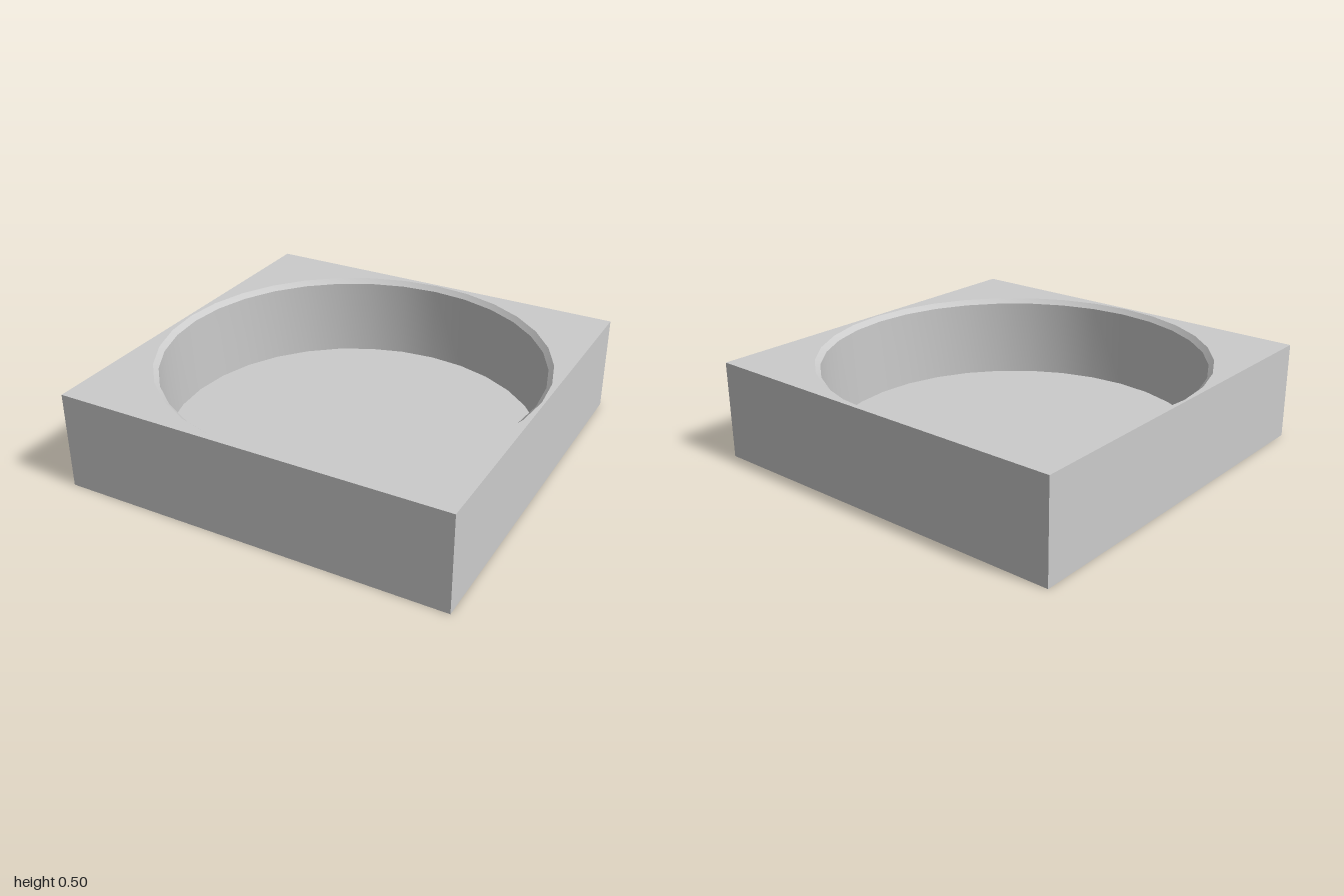
import * as THREE from 'three';
import { toCreasedNormals } from 'three/addons/utils/BufferGeometryUtils.js';

const SIZE = 2, HEIGHT = 0.5, FLOOR = 0.06, SIDES = 32;
const WALL_R = 0.96, RIM_R = 0.985, CHAMFER = 0.025;

export function createModel() {
  const group = new THREE.Group();
  const material = new THREE.MeshStandardMaterial({ color: 0xcccccc });
  const add = (name, geometry, y = 0) => {
    const mesh = new THREE.Mesh(geometry, material);
    mesh.name = name;
    mesh.position.y = y;
    group.add(mesh);
  };

  // Square block: four sides and underside, with the top face left out
  const block = new THREE.BoxGeometry(SIZE, HEIGHT, SIZE);
  const index = Array.from(block.index.array);
  index.splice(12, 6);
  block.setIndex(index);
  block.clearGroups();
  add('blockSides', block, HEIGHT / 2);

  // Top face with the round opening
  const h = SIZE / 2;
  const top = new THREE.Shape([[-h, -h], [h, -h], [h, h], [-h, h]].map(([x, y]) => new THREE.Vector2(x, y)));
  const opening = Array.from({ length: SIDES }, (_, i) => {
    const a = (-i / SIDES) * Math.PI * 2;
    return new THREE.Vector2(Math.cos(a) * RIM_R, Math.sin(a) * RIM_R);
  });
  top.holes.push(new THREE.Path(opening));
  add('topFace', new THREE.ShapeGeometry(top).rotateX(-Math.PI / 2), HEIGHT);

  // Chamfered rim and upright wall of the recess, facing inwards
  const profile = [
    [RIM_R, HEIGHT], [WALL_R, HEIGHT - CHAMFER], [WALL_R, FLOOR],
  ].map(([r, y]) => new THREE.Vector2(r, y));
  add('recessWall', toCreasedNormals(new THREE.LatheGeometry(profile, SIDES), 0.5));

  // Flat floor of the recess
  add('recessFloor', new THREE.CircleGeometry(WALL_R, SIDES).rotateX(-Math.PI / 2), FLOOR);

  return group;
}
